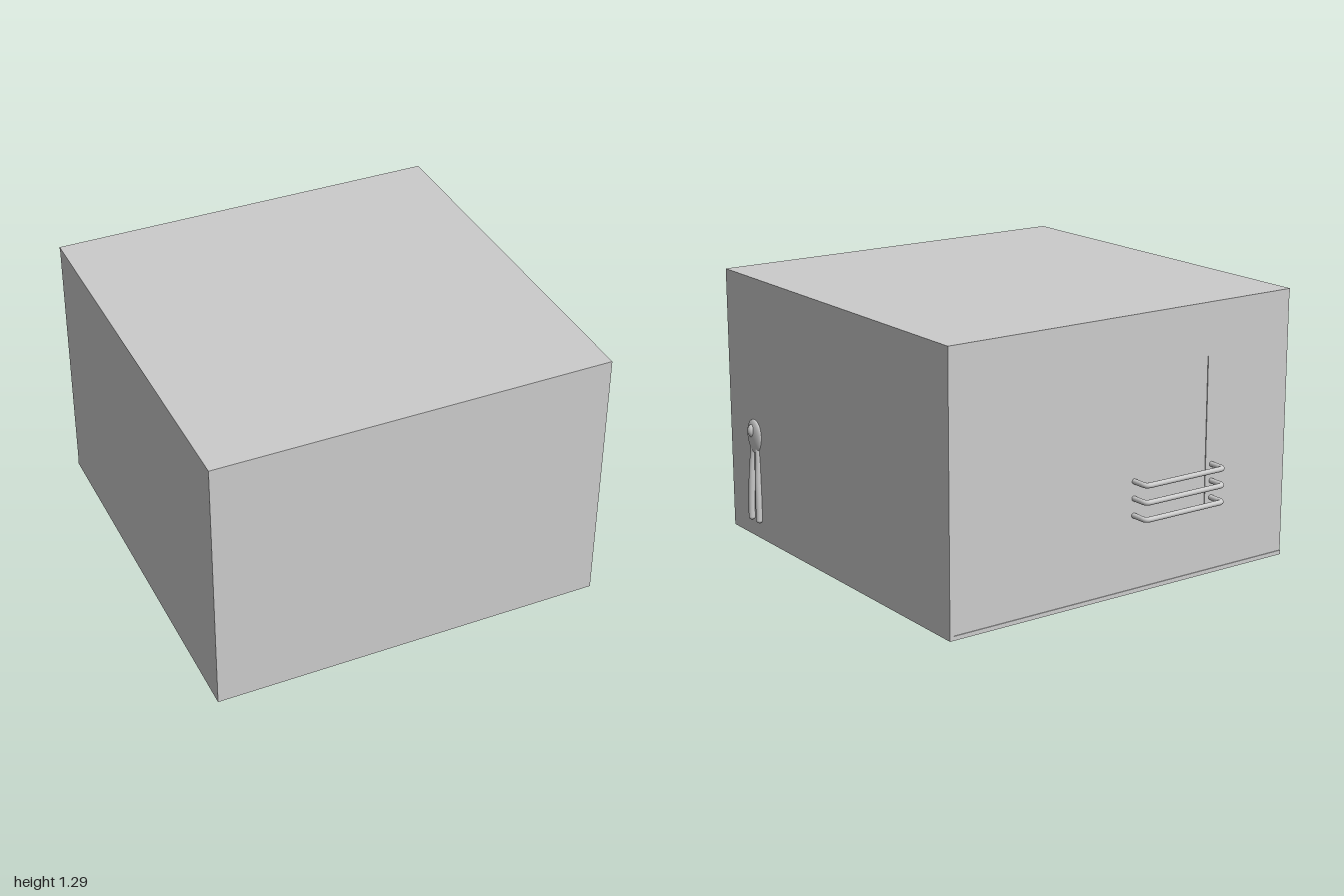
import * as THREE from 'three';

const material = new THREE.MeshStandardMaterial({ color: 0xcccccc });
const V = (x, y, z) => new THREE.Vector3(x, y, z);

function add(parent, name, geometry, x = 0, y = 0, z = 0) {
  const mesh = new THREE.Mesh(geometry, material);
  mesh.name = name;
  mesh.position.set(x, y, z);
  parent.add(mesh);
  return mesh;
}

// Box given by its lower and upper corners
function slab(parent, name, a, b) {
  const size = b.map((v, i) => v - a[i]);
  return add(parent, name, new THREE.BoxGeometry(...size), ...b.map((v, i) => (v + a[i]) / 2));
}

export function createModel() {
  const model = new THREE.Group();
  model.name = 'room';
  const [x0, x1, h, z0, z1, t] = [-0.97, 0.93, 1.295, -0.905, 1, 0.02];
  const back = z0 + 0.004;

  // Closed shell of floor, roof and walls
  slab(model, 'floor', [x0, 0, z0], [x1, t, z1]);
  slab(model, 'roof', [x0, h - t, z0], [x1, h, z1]);
  slab(model, 'frontWall', [x0 + t, t, z1 - t], [x1 - t, h - t, z1]);
  slab(model, 'leftWall', [x1 - t, t, z0], [x1, h - t, z1]);
  slab(model, 'rightWall', [x0, t, back], [x0 + t, h - t, z1]);

  // Back wall with a window opening
  const [wx0, wx1, wy0, wy1] = [-0.487, -0.115, 0.335, 1.045];
  const rect = (S, a, b, c, d) => new S([[a, c], [b, c], [b, d], [a, d]].map(p => new THREE.Vector2(...p)));
  const wall = rect(THREE.Shape, x0 + t, x1 - t, t, h - t);
  wall.holes.push(rect(THREE.Path, wx0, wx1, wy0, wy1));
  add(model, 'backWall', new THREE.ExtrudeGeometry(wall, { depth: t, bevelEnabled: false }), 0, 0, back);
  slab(model, 'windowPane', [wx0, wy0, back + 0.004], [wx1, wy1, back + t]);

  // Three bent rails in front of the window
  const [bx0, bx1, bz, r] = [-0.522, -0.068, -0.987, 0.025];
  const path = new THREE.CurvePath();
  path.add(new THREE.LineCurve3(V(bx0, 0, z0 + 0.01), V(bx0, 0, bz + r)));
  path.add(new THREE.QuadraticBezierCurve3(V(bx0, 0, bz + r), V(bx0, 0, bz), V(bx0 + r, 0, bz)));
  path.add(new THREE.LineCurve3(V(bx0 + r, 0, bz), V(bx1 - r, 0, bz)));
  path.add(new THREE.QuadraticBezierCurve3(V(bx1 - r, 0, bz), V(bx1, 0, bz), V(bx1, 0, bz + r)));
  path.add(new THREE.LineCurve3(V(bx1, 0, bz + r), V(bx1, 0, z0 + 0.01)));
  const railGeometry = new THREE.TubeGeometry(path, 120, 0.0125, 14);
  for (const y of [0.37, 0.45, 0.53]) add(model, 'windowRail', railGeometry, 0, y, 0);

  // Hand tool hanging on the side wall
  const tool = new THREE.Group();
  tool.name = 'handTool';
  tool.position.set(x1, 0, 0.765);
  model.add(tool);

  // Egg-shaped head, narrowing towards the handles
  const head = new THREE.SphereGeometry(1, 32, 24);
  const p = head.attributes.position;
  for (let i = 0; i < p.count; i++) {
    const y = p.getY(i);
    const taper = 1 + 0.12 * y;
    p.setXYZ(i, p.getX(i) * 0.021 * taper, y * 0.084, p.getZ(i) * 0.063 * taper);
  }
  head.computeVertexNormals();
  add(tool, 'toolHead', head, 0, 0.511, 0);
  const pivot = add(tool, 'toolPivot', new THREE.SphereGeometry(1, 24, 16), 0.014, 0.541, 0.003);
  pivot.scale.set(0.021, 0.032, 0.023);

  // Two mirrored handles with rounded ends
  for (const side of [-1, 1]) {
    const curve = new THREE.CatmullRomCurve3([
      V(-0.006, 0.47, side * 0.018), V(-0.002, 0.41, side * 0.026),
      V(0.006, 0.3, side * 0.031), V(0.009, 0.2, side * 0.035), V(0.011, 0.098, side * 0.036),
    ]);
    add(tool, 'toolHandle', new THREE.TubeGeometry(curve, 32, 0.0165, 16));
    add(tool, 'handleTip', new THREE.SphereGeometry(0.0165, 16, 12), 0.011, 0.098, side * 0.036);
  }
  return model;
}
